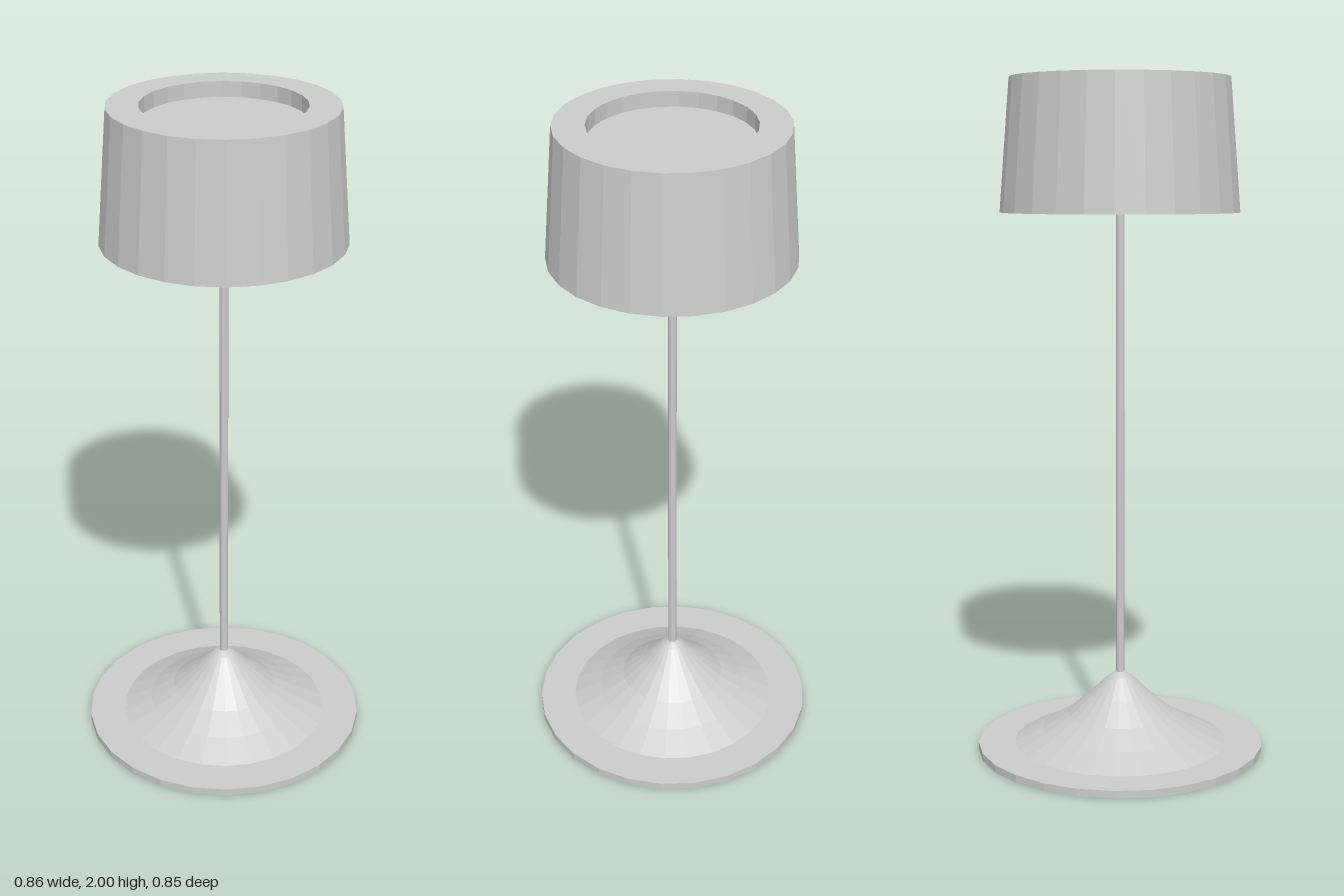
import * as THREE from 'three';

const SIDES = 26;
const material = new THREE.MeshStandardMaterial({ color: 0xcccccc, flatShading: true });

// Revolves a profile of [radius, height] pairs, with a corner on the x axis
function turned(name, profile, sides = SIDES) {
  const points = profile.map(([r, y]) => new THREE.Vector2(r, y));
  const mesh = new THREE.Mesh(new THREE.LatheGeometry(points, sides, Math.PI / 2), material);
  mesh.name = name;
  return mesh;
}

export function createModel() {
  const lamp = new THREE.Group();
  lamp.name = 'tableLamp';

  // Flat rim sweeping up to a concave cone, hollow underneath
  lamp.add(turned('base', [
    [0, 0.205], [0.025, 0.195], [0.08, 0.137], [0.15, 0.079], [0.225, 0.036], [0.31, 0],
    [0.43, 0], [0.43, 0.022], [0.32, 0.022],
    [0.235, 0.063], [0.16, 0.108], [0.09, 0.168], [0.035, 0.222], [0.013, 0.235], [0, 0.235],
  ]));

  // Thin stem reaching into the shade
  lamp.add(turned('stem', [[0, 0.2], [0.013, 0.2], [0.013, 1.76], [0, 1.76]], 12));

  // Small flare where the stem meets the socket
  lamp.add(turned('stemCollar', [[0.013, 1.715], [0.03, 1.746]], 12));

  // Tapered shade with a socket below and shallow recesses at both ends
  lamp.add(turned('shade', [
    [0, 1.746], [0.08, 1.746], [0.08, 1.658], [0.27, 1.658], [0.27, 1.615],
    [0.35, 1.615], [0.32, 2],
    [0.23, 2], [0.23, 1.955], [0, 1.955],
  ]));

  return lamp;
}
